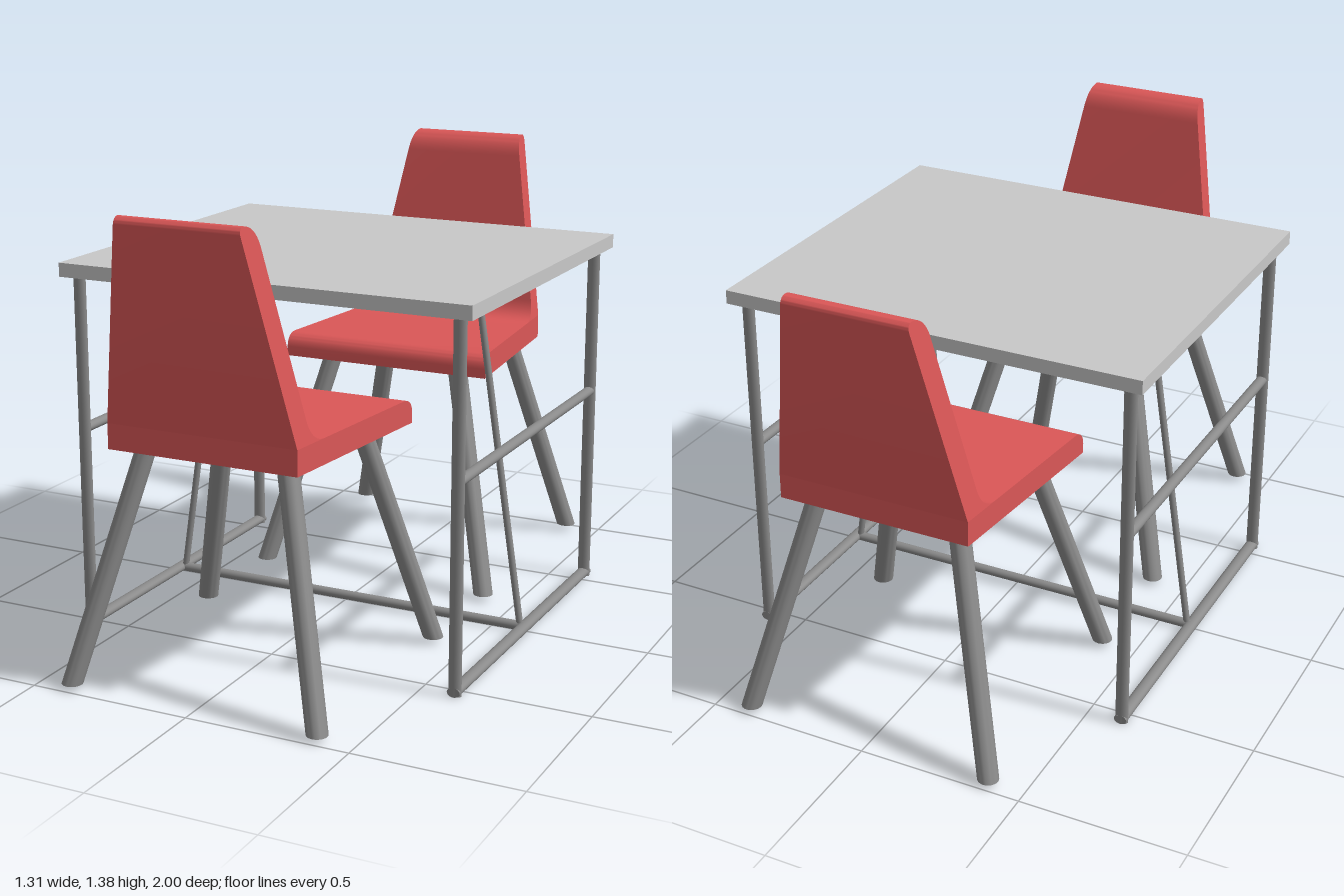
import * as THREE from 'three';
import { toCreasedNormals } from 'three/addons/utils/BufferGeometryUtils.js';

const mat = (name, color) => new THREE.MeshStandardMaterial({ name, color });

export function createModel() {
  const red = mat('red plastic', 0xdb5757);
  const top = mat('light grey top', 0xc8c8c8);
  const steel = mat('grey metal', 0x8a8a8a);
  const model = new THREE.Group();

  const add = (parent, name, geometry, material) => {
    const mesh = new THREE.Mesh(geometry, material);
    mesh.name = name;
    parent.add(mesh);
    return mesh;
  };

  // Round bar between two points; across scales its width in x
  const bar = (parent, name, a, b, r, across = 1) => {
    const p = new THREE.Vector3(...a), q = new THREE.Vector3(...b);
    const dir = q.clone().sub(p);
    const g = new THREE.CylinderGeometry(r, r, dir.length(), 20);
    g.applyQuaternion(new THREE.Quaternion().setFromUnitVectors(new THREE.Vector3(0, 1, 0), dir.normalize()));
    g.scale(across, 1, 1);
    const mid = p.add(q).multiplyScalar(0.5);
    g.translate(mid.x, mid.y, mid.z);
    add(parent, name, g, steel);
  };

  // Chair leg: an upright cylinder sheared so that its ends stay level
  const chairLeg = (parent, name, a, b, r) => {
    const h = b[1] - a[1];
    const g = new THREE.CylinderGeometry(r, r, h, 24);
    g.applyMatrix4(new THREE.Matrix4().set(
      1, (b[0] - a[0]) / h, 0, (a[0] + b[0]) / 2,
      0, 1, 0, (a[1] + b[1]) / 2,
      0, (b[2] - a[2]) / h, 1, (a[2] + b[2]) / 2,
      0, 0, 0, 1));
    g.computeVertexNormals();
    add(parent, name, toCreasedNormals(g, 0.7), steel);
  };

  // Side profile (z, y) extruded across x, tapered to the rear and to the top
  const halfWidth = (z, y) => 0.35 - (z - 0.28) * 0.09 - Math.max(0, y - 0.78) * 0.165;
  const shell = (parent, name, shape) => {
    const g = new THREE.ExtrudeGeometry(shape, { depth: 2, bevelEnabled: false, curveSegments: 10 });
    const p = g.attributes.position;
    for (let i = 0; i < p.count; i++) {
      const z = p.getX(i), y = p.getY(i), side = 1 - p.getZ(i);
      p.setXYZ(i, side * halfWidth(z, y), y, z);
    }
    add(parent, name, toCreasedNormals(g, 0.6), red);
  };

  // Chair, with its back towards +z
  const makeChair = (name) => {
    const chair = new THREE.Group();
    chair.name = name;

    const seat = new THREE.Shape();
    seat.moveTo(0.89, 0.705);
    seat.lineTo(0.89, 0.78);
    seat.lineTo(0.32, 0.78);
    seat.quadraticCurveTo(0.28, 0.775, 0.278, 0.735);
    seat.lineTo(0.278, 0.705);
    seat.closePath();
    shell(chair, 'seat', seat);

    const back = new THREE.Shape();
    back.moveTo(0.89, 0.78);
    back.lineTo(0.992, 1.355);
    back.bezierCurveTo(0.995, 1.372, 0.985, 1.382, 0.97, 1.38);
    back.bezierCurveTo(0.94, 1.378, 0.917, 1.355, 0.91, 1.315);
    back.lineTo(0.828, 0.845);
    back.bezierCurveTo(0.822, 0.81, 0.8, 0.78, 0.755, 0.78);
    back.closePath();
    shell(chair, 'backrest', back);

    for (const s of [-1, 1]) {
      chairLeg(chair, 'rearChairLeg', [s * 0.39, 0.02, 0.968], [s * 0.22, 0.71, 0.803], 0.031);
      chairLeg(chair, 'frontChairLeg', [s * 0.39, 0.02, 0.198], [s * 0.22, 0.71, 0.362], 0.031);
    }
    model.add(chair);
    return chair;
  };
  makeChair('frontChair');
  makeChair('rearChair').rotation.y = Math.PI;

  // Table top
  const table = new THREE.Group();
  table.name = 'table';
  model.add(table);
  add(table, 'tableTop', new THREE.BoxGeometry(1.31, 0.042, 1.153), top).position.set(0, 1.12, -0.003);

  // Side frames: posts, rails and a slanted strut
  for (const s of [-1, 1]) {
    const frame = new THREE.Group();
    frame.name = s > 0 ? 'leftFrame' : 'rightFrame';
    frame.position.x = s * 0.607;
    table.add(frame);
    for (const z of [-0.541, 0.539]) bar(frame, 'tablePost', [0, 0.005, z], [0, 1.1, z], 0.0135, 1.45);
    bar(frame, 'floorRail', [0, 0.018, -0.554], [0, 0.018, 0.552], 0.0145, 1.35);
    bar(frame, 'middleRail', [0, 0.635, -0.541], [0, 0.635, 0.539], 0.0145, 1.2);
    bar(table, 'slantedStrut', [s * 0.592, 0.02, -0.002], [s * 0.428, 1.1, -0.002], 0.0105);
  }
  bar(table, 'crossRail', [-0.607, 0.018, -0.002], [0.607, 0.018, -0.002], 0.0145);

  return model;
}
